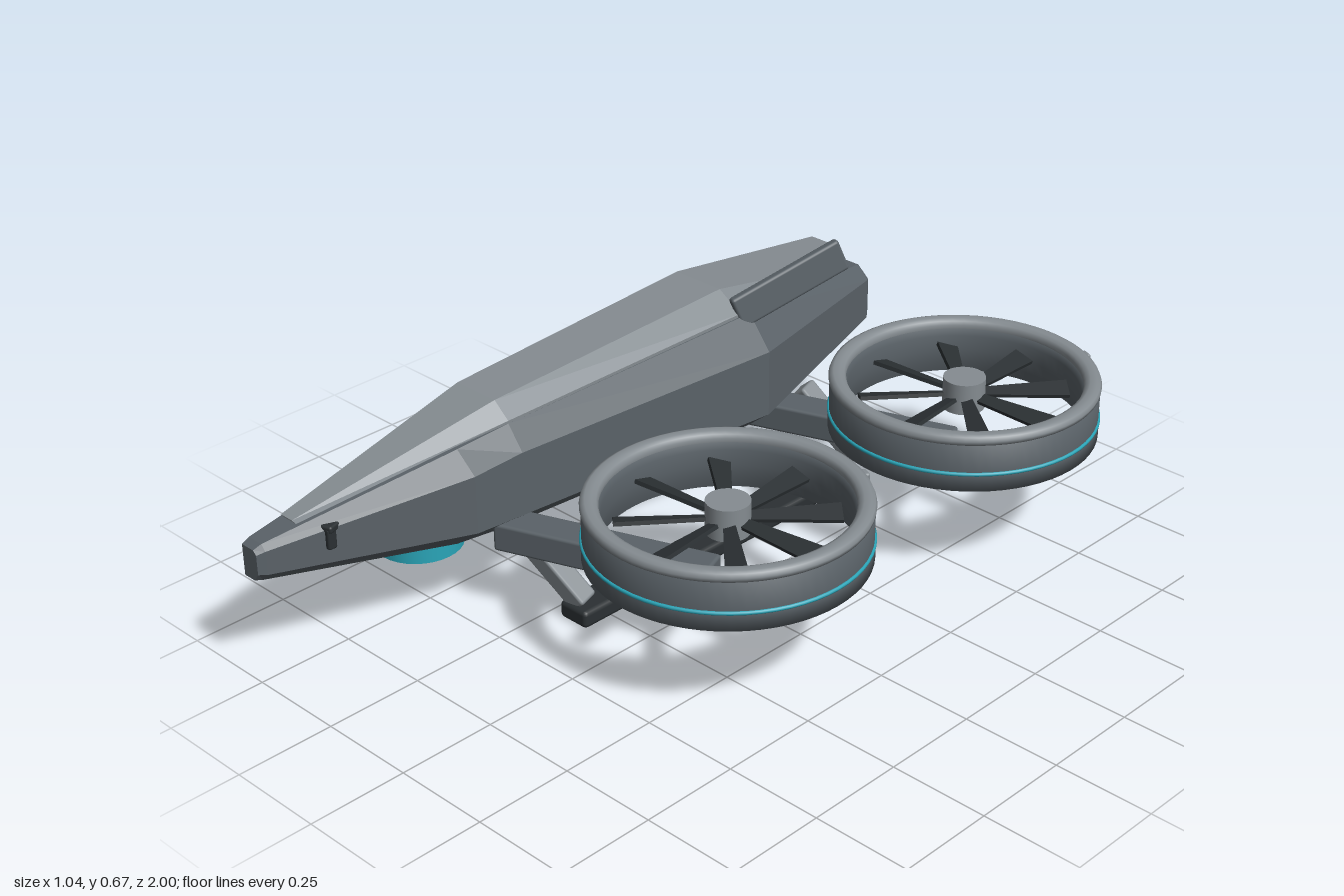
import * as THREE from 'three';
import { RoundedBoxGeometry } from 'three/addons/geometries/RoundedBoxGeometry.js';

const CUT = -0.52; // plane of the open inner side
const mat = (color, extra = {}) => new THREE.MeshStandardMaterial({ color, ...extra });
const V = (x, y, z) => new THREE.Vector3(x, y, z);

// Skin over half cross-sections, ordered nose to tail; each runs from the bottom outward and up
function loft(sections) {
  const pos = [];
  const tri = (...points) => points.forEach(p => pos.push(...p));
  for (let i = 0; i < sections.length - 1; i++) {
    const A = sections[i], B = sections[i + 1];
    for (let j = 0; j < A.length - 1; j++) {
      tri(A[j], B[j], A[j + 1]);
      tri(A[j + 1], B[j], B[j + 1]);
    }
  }
  const first = sections[0], last = sections[sections.length - 1];
  for (let j = 1; j < first.length - 1; j++) {
    tri(first[0], first[j], first[j + 1]);
    tri(last[0], last[j + 1], last[j]);
  }
  const g = new THREE.BufferGeometry();
  g.setAttribute('position', new THREE.Float32BufferAttribute(pos, 3));
  g.computeVertexNormals();
  return g;
}

export function createModel() {
  const model = new THREE.Group();
  model.name = 'halfDrone';
  const shell = mat(0x5a6268, { flatShading: true, side: THREE.DoubleSide });
  const canopyMat = mat(0x858c91, { flatShading: true, side: THREE.DoubleSide });
  const frame = mat(0x5a6268);
  const ductMat = mat(0x5a6268, { side: THREE.DoubleSide });
  const light = mat(0x858c91);
  const dark = mat(0x2b3033);
  const cyan = mat(0x2aa5b8);

  const add = (parent, name, geometry, material, x = 0, y = 0, z = 0) => {
    const m = new THREE.Mesh(geometry, material);
    m.name = name;
    m.position.set(x, y, z);
    parent.add(m);
    return m;
  };

  // Rounded beam from a to b; "side" fixes the direction of its width
  const beam = (name, a, b, width, thick, side, material) => {
    const d = b.clone().sub(a);
    const m = add(model, name, new RoundedBoxGeometry(width, thick, d.length(), 2, 0.008), material);
    const zAxis = d.clone().normalize();
    const yAxis = zAxis.clone().cross(side).normalize();
    const xAxis = yAxis.clone().cross(zAxis);
    m.quaternion.setFromRotationMatrix(new THREE.Matrix4().makeBasis(xAxis, yAxis, zAxis));
    m.position.copy(a).add(b).multiplyScalar(0.5);
    return m;
  };

  // Fuselage: z, bottom y, bottom corner x, side x, side low y, side high y, shoulder x, top y
  const hull = [
    [1.0, 0.28, -0.485, -0.47, 0.3, 0.35, -0.48, 0.36],
    [0.98, 0.275, -0.48, -0.462, 0.295, 0.355, -0.475, 0.37],
    [0.5, 0.2, -0.385, -0.307, 0.26, 0.41, -0.365, 0.46],
    [0.36, 0.193, -0.37, -0.3, 0.255, 0.42, -0.345, 0.48],
    [-0.4, 0.19, -0.31, -0.228, 0.255, 0.43, -0.295, 0.515],
    [-0.93, 0.265, -0.41, -0.365, 0.295, 0.405, -0.4, 0.44],
    [-0.945, 0.275, -0.42, -0.375, 0.3, 0.4, -0.41, 0.43],
  ];
  add(model, 'fuselage', loft(hull.map(([z, yb, xb, xs, y1, y2, xt, yt]) => [
    [CUT, yb, z], [xb, yb, z], [xs, y1, z], [xs, y2, z], [xt, yt, z], [CUT, yt, z],
  ])), shell);

  // Canopy spine: z, rim x, rim y, top edge x, top y
  const canopy = [
    [0.89, -0.465, 0.375, -0.48, 0.39],
    [0.36, -0.345, 0.475, -0.39, 0.525],
    [-0.37, -0.3, 0.51, -0.37, 0.567],
    [-0.88, -0.42, 0.44, -0.435, 0.5],
  ];
  add(model, 'canopy', loft(canopy.map(([z, xr, yr, xt, yt]) => [
    [xr, yr, z], [xr, yr + 0.012, z], [xt, yt, z], [CUT, yt, z],
  ])), canopyMat);

  // Belly sensor, half a disc
  add(model, 'bellySensor', new THREE.CylinderGeometry(0.108, 0.108, 0.08, 16, 1, false, 0, Math.PI),
    cyan, CUT, 0.195, 0.505);
  const wall = add(model, 'bellySensorWall', new THREE.PlaneGeometry(0.216, 0.08), cyan, CUT, 0.195, 0.505);
  wall.rotation.y = -Math.PI / 2;

  // Nose probe
  const probe = add(model, 'noseProbe', new RoundedBoxGeometry(0.04, 0.018, 0.05, 2, 0.006), dark, -0.428, 0.373, 0.825);
  probe.rotation.y = 0.3;
  add(model, 'noseProbeTip', new RoundedBoxGeometry(0.016, 0.055, 0.025, 2, 0.006), dark, -0.415, 0.348, 0.835);

  // Shoulder vents
  for (let i = 0; i < 4; i++) {
    const vent = add(model, 'vent', new THREE.CapsuleGeometry(0.012, 0.06, 4, 10), dark,
      -0.35, 0.515, -0.41 - i * 0.085);
    vent.rotation.z = Math.PI / 2;
  }

  // Tail fin
  beam('tailFin', V(-0.31, 0.52, -0.365), V(-0.2, 0.632, -0.635), 0.085, 0.026, V(0.025, -0.075, -0.035), frame);

  // Rotor arms, landing struts and skid
  const up = V(0, 1, 0);
  beam('frontArm', V(-0.34, 0.218, 0.4), V(0.17, 0.218, 0.21), 0.073, 0.09, up, frame);
  beam('rearArm', V(-0.34, 0.218, -0.46), V(0.17, 0.218, -0.643), 0.073, 0.09, up, frame);
  for (const [name, z] of [['frontStrut', 0.36], ['rearStrut', -0.625]])
    beam(name, V(-0.32, 0.215, z), V(-0.17, 0.042, z - 0.06), 0.055, 0.055, V(0, 0, 1), light);
  add(model, 'skid', new RoundedBoxGeometry(0.09, 0.046, 0.99, 2, 0.012), dark, -0.17, 0.023, -0.155);

  // Duct wall profile (radius, y): outside up, then down the curved inside
  const wallProfile = [
    [0.3, 0.275], [0.334, 0.275], [0.334, 0.315], [0.332, 0.32], [0.332, 0.405],
    [0.295, 0.405], [0.287, 0.38], [0.285, 0.34], [0.29, 0.305], [0.3, 0.275],
  ].map(([r, y]) => new THREE.Vector2(r, y));
  const lipProfile = [
    [0.292, 0.398], [0.333, 0.398], [0.335, 0.408], [0.331, 0.418], [0.322, 0.422],
    [0.306, 0.422], [0.296, 0.417], [0.291, 0.408], [0.292, 0.398],
  ].map(([r, y]) => new THREE.Vector2(r, y));

  // Blade widens to the tip
  const bladeGeo = new THREE.BoxGeometry(0.22, 0.01, 0.055);
  bladeGeo.translate(0.15, 0, 0);
  const p = bladeGeo.attributes.position;
  for (let i = 0; i < p.count; i++) if (p.getX(i) < 0.1) p.setZ(i, p.getZ(i) * 0.5);
  bladeGeo.rotateX(0.3);

  for (const [name, z] of [['frontRotor', 0.175], ['rearRotor', -0.665]]) {
    const rotor = new THREE.Group();
    rotor.name = name;
    rotor.position.set(0.181, 0, z);
    model.add(rotor);
    add(rotor, 'duct', new THREE.LatheGeometry(wallProfile, 64), ductMat);
    add(rotor, 'ductLip', new THREE.LatheGeometry(lipProfile, 64), light);
    const stripe = add(rotor, 'stripe', new THREE.TorusGeometry(0.332, 0.005, 8, 64), cyan, 0, 0.32, 0);
    stripe.rotation.x = Math.PI / 2;
    add(rotor, 'hub', new THREE.CylinderGeometry(0.053, 0.053, 0.08, 24), light, 0, 0.37, 0);
    for (let i = 0; i < 8; i++) {
      const blade = add(rotor, 'blade', bladeGeo, dark, 0, 0.365, 0);
      blade.rotation.y = 0.06 + i * Math.PI / 4;
    }
    // Navigation lamps on the rear of the duct
    for (const s of [-1, 1]) {
      const a = s * 0.4;
      const lamp = add(rotor, 'lamp', new RoundedBoxGeometry(0.03, 0.026, 0.03, 2, 0.006), light,
        Math.sin(a) * 0.335, 0.395, -Math.cos(a) * 0.335);
      lamp.rotation.y = -a;
    }
  }
  return model;
}
